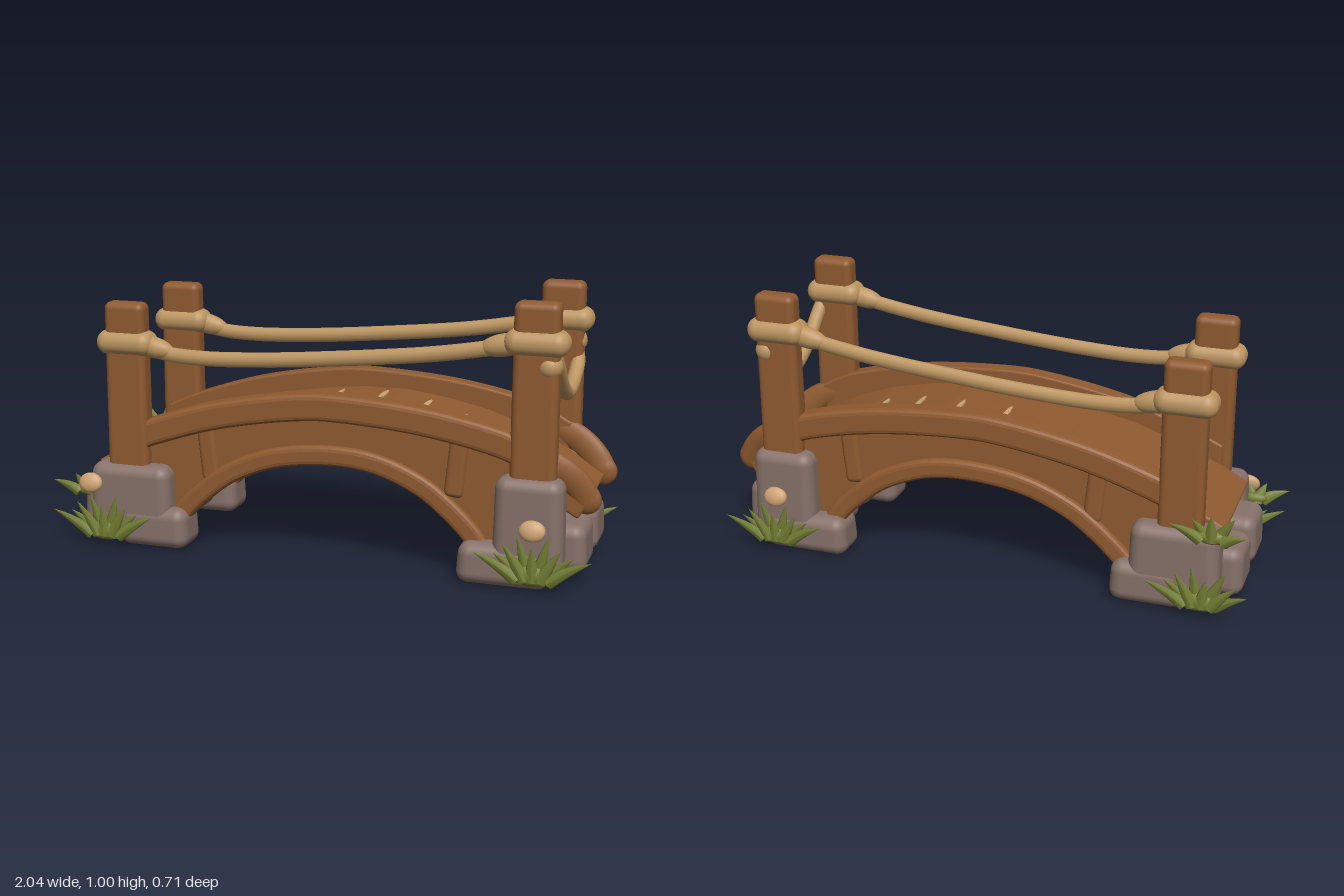
import * as THREE from 'three';
import { RoundedBoxGeometry } from 'three/addons/geometries/RoundedBoxGeometry.js';

const mat = (name, color) => {
  const m = new THREE.MeshStandardMaterial({ color });
  m.name = name;
  return m;
};
const V2 = (p) => new THREE.Vector2(p[0], p[1]);
const V3 = (p) => new THREE.Vector3(p[0], p[1], p[2]);

export function createModel() {
  const wood = mat('wood', 0x8f5a30);
  const rope = mat('rope', 0xbc9561);
  const stone = mat('stone', 0x87726a);
  const grass = mat('grass', 0x747f35);
  const cap = mat('mushroom', 0xcda273);
  const model = new THREE.Group();
  model.name = 'ropeBridge';

  function add(name, geo, material, x = 0, y = 0, z = 0, parent = model) {
    const m = new THREE.Mesh(geo, material);
    m.name = name;
    m.position.set(x, y, z);
    parent.add(m);
    return m;
  }
  const rbox = (w, h, d, r) => new RoundedBoxGeometry(w, h, d, 4, r);

  // Rounded block given by its bounds, narrowing slightly to the top
  function block(name, material, x0, x1, y0, y1, z0, z1, r, taper = 0) {
    const h = y1 - y0;
    const g = rbox(x1 - x0, h, z1 - z0, r);
    const p = g.attributes.position;
    for (let i = 0; i < p.count; i++) {
      const k = 1 - taper * (p.getY(i) / h);
      p.setX(i, p.getX(i) * k);
      p.setZ(i, p.getZ(i) * k);
    }
    return add(name, g, material, (x0 + x1) / 2, (y0 + y1) / 2, (z0 + z1) / 2);
  }

  // Side beam curves
  const topCurve = new THREE.SplineCurve([[-0.8, 0.43], [-0.66, 0.49], [-0.4, 0.57], [-0.1, 0.622],
    [0.1, 0.628], [0.4, 0.603], [0.68, 0.545], [0.82, 0.48]].map(V2));
  const archCurve = new THREE.SplineCurve([[-0.57, 0.05], [-0.5, 0.135], [-0.4, 0.225], [-0.3, 0.29],
    [-0.15, 0.345], [0.04, 0.366], [0.2, 0.35], [0.35, 0.29], [0.45, 0.215], [0.53, 0.135], [0.58, 0.05]].map(V2));

  // Extrude a closed outline between depths z0 and z1 with soft edges
  function slab(pts, z0, z1, b) {
    const g = new THREE.ExtrudeGeometry(new THREE.Shape(pts), {
      depth: z1 - z0 - 2 * b, bevelEnabled: true, bevelThickness: b, bevelSize: b,
      bevelOffset: -b, bevelSegments: 3,
    });
    return g.translate(0, 0, z0 + b);
  }
  // Band that follows a curve, growing along its normal
  function band(curve, width, z0, z1) {
    const n = 40, a = [], c = [];
    for (let i = 0; i <= n; i++) {
      const p = curve.getPoint(i / n), t = curve.getTangent(i / n);
      a.push(p);
      c.unshift(new THREE.Vector2(p.x - t.y * width, p.y + t.x * width));
    }
    return slab([...a, ...c], z0, z1, 0.02);
  }
  const wallGeo = slab([new THREE.Vector2(-0.8, 0.08), ...archCurve.getPoints(40),
    new THREE.Vector2(0.8, 0.08), ...topCurve.getPoints(40).reverse()], 0.2, 0.248, 0.008);
  const topRailGeo = band(topCurve, -0.1, 0.2, 0.28);
  const lowRailGeo = band(archCurve, 0.075, 0.195, 0.272);

  for (const s of [1, -1]) {
    const side = s > 0 ? 'front' : 'back';
    for (const [name, g] of [['BeamWall', wallGeo], ['TopRail', topRailGeo], ['ArchRail', lowRailGeo]]) {
      const m = add(side + name, g, wood);
      if (s < 0) {
        m.rotation.x = 0;
        m.position.z = g === wallGeo ? -0.448 : g === topRailGeo ? -0.48 : -0.467;
      }
    }
    // Ribs across the recessed panel
    for (const [x, y] of [[-0.44, 0.4], [0.5, 0.42]]) {
      const rib = add(side + 'Rib', rbox(0.07, 0.26, 0.05, 0.02), wood, x, y, s * 0.237);
      rib.rotation.z = x < 0 ? 0.1 : -0.1;
    }

    // Drooping tail of the rail past the tall post
    const tail = new THREE.Group();
    tail.name = side + 'RailTail';
    tail.scale.z = 0.5;
    model.add(tail);
    const path = new THREE.CatmullRomCurve3([[0.74, 0.46, s * 0.46], [0.85, 0.415, s * 0.43],
      [0.91, 0.365, s * 0.4], [0.945, 0.31, s * 0.38]].map(V3));
    add('tailBeam', new THREE.TubeGeometry(path, 16, 0.053, 12), wood, 0, 0, 0, tail);
    add('tailEnd', new THREE.SphereGeometry(0.053, 16, 12), wood, 0.945, 0.31, s * 0.38, tail);

    // Posts, with rope wrapped around them
    for (const [x, top, ry] of [[-0.75, 0.92, 0.77], [0.77, 1, 0.86]]) {
      block(side + 'Post', wood, x - 0.08, x + 0.08, 0.2, top, s * 0.25 - 0.04, s * 0.25 + 0.04, 0.026, 0.03);
      add(side + 'RopeWrap', rbox(0.225, 0.092, 0.118, 0.045), rope, x, ry, s * 0.252);
    }

    // Hand rope, thickening where it meets the wraps
    const line = new THREE.CatmullRomCurve3([[-0.72, 0.77, 0], [-0.6, 0.738, 0], [-0.45, 0.728, 0],
      [-0.2, 0.738, 0], [0.1, 0.764, 0], [0.4, 0.797, 0], [0.6, 0.83, 0], [0.74, 0.86, 0]].map(V3));
    const hand = add(side + 'HandRope', new THREE.TubeGeometry(line, 48, 0.028, 12), rope, 0, 0, s * 0.255);
    hand.scale.z = 0.75;
    for (const [x, y, a] of [[-0.65, 0.758, -0.2], [0.66, 0.846, 0.2]]) {
      const k = add(side + 'RopeKnot', new THREE.SphereGeometry(1, 16, 12), rope, x, y, s * 0.255);
      k.scale.set(0.09, 0.04, 0.036);
      k.rotation.z = a;
    }

    // Foundation stones
    const z = (a, b) => (s > 0 ? [a, b] : [-b, -a]);
    block('shortPostStone', stone, -0.9, -0.575, 0.03, 0.315, ...z(0.18, 0.32), 0.045, 0.06);
    block('shortFootStone', stone, -0.78, -0.51, 0.005, 0.16, ...z(0.16, 0.325), 0.045, 0.06);
    block('tallPostStone', stone, 0.64, 0.885, 0.02, 0.395, ...z(0.19, 0.318), 0.045, 0.06);
    block('tallFootStone', stone, 0.515, 0.84, 0, 0.15, ...z(0.165, 0.325), 0.045, 0.06);
    block('shortEndStone', stone, -0.97, -0.6, 0.04, 0.225, ...z(0.025, 0.235), 0.045, 0.04);
    block('tallEndStone', stone, 0.57, 0.955, 0.045, 0.22, ...z(0.022, 0.235), 0.045, 0.04);
  }

  // Rope sagging between the tall posts
  const sag = new THREE.CatmullRomCurve3([[0.82, 0.84, 0.26], [0.83, 0.785, 0.21], [0.83, 0.69, 0.1],
    [0.83, 0.638, 0], [0.83, 0.632, -0.07], [0.83, 0.655, -0.16], [0.83, 0.715, -0.235], [0.81, 0.77, -0.26]].map(V3));
  add('endRope', new THREE.TubeGeometry(sag, 40, 0.027, 12), rope);
  for (const s of [1, -1]) add('lowerKnot', new THREE.SphereGeometry(0.045, 16, 12), rope, 0.815, 0.78, s * 0.255);

  // Deck planks along an arched line
  const deck = new THREE.SplineCurve([[-0.9, 0.3], [-0.7, 0.4], [-0.4, 0.5], [0, 0.56],
    [0.2, 0.562], [0.5, 0.51], [0.75, 0.415], [0.95, 0.305]].map(V2));
  const count = 12, thick = 0.07;
  for (let i = 0; i < count; i++) {
    const a = deck.getPointAt(i / count), b = deck.getPointAt((i + 1) / count);
    const ang = Math.atan2(b.y - a.y, b.x - a.x);
    const plank = add('deckPlank', rbox(a.distanceTo(b) + 0.012, thick, 0.43, 0.01), wood,
      (a.x + b.x) / 2 + Math.sin(ang) * thick / 2, (a.y + b.y) / 2 - Math.cos(ang) * thick / 2);
    plank.rotation.z = ang;
  }
  // Pale worn slivers on the planks
  for (const [x, z, len] of [[-0.04, -0.06, 0.17], [0.14, -0.06, 0.13], [0.31, -0.03, 0.15], [0.46, 0, 0.08]]) {
    let u = 0;
    while (u < 1 && deck.getPoint(u).x < x) u += 0.002;
    const p = deck.getPoint(u), t = deck.getTangent(u);
    const sliver = add('wornSliver', new THREE.CylinderGeometry(1, 1, 0.008, 12), cap, p.x, p.y, z);
    sliver.scale.set(0.01, 1, len / 2);
    sliver.rotation.z = Math.atan2(t.y, t.x);
  }

  // Grass blade: flattened cone whose tip bends sideways
  function blade(len, bend) {
    const g = new THREE.ConeGeometry(0.024, len, 8, 5);
    g.translate(0, len / 2, 0);
    const p = g.attributes.position;
    for (let i = 0; i < p.count; i++) {
      const k = p.getY(i) / len;
      p.setX(i, p.getX(i) * (1 + 0.9 * k) + bend * k * k);
      p.setZ(i, p.getZ(i) * 0.65 + 0.02 * k);
    }
    g.computeVertexNormals();
    return g;
  }
  function tuft(x, y, z, size, n) {
    const g = new THREE.Group();
    g.name = 'grassTuft';
    g.position.set(x, y, z);
    if (z < 0) g.rotation.y = Math.PI;
    model.add(g);
    for (let i = 0; i < n; i++) {
      const f = (i / (n - 1)) * 2 - 1;
      const len = size * (0.88 + 0.14 * Math.cos(i * 2.4));
      const m = add('blade', blade(len, 0.03 * f), grass, f * size * 0.3, 0, 0.008 * Math.cos(i * 3), g);
      m.rotation.z = -f * 0.85;
    }
    const root = add('tuftRoot', new THREE.SphereGeometry(1, 14, 10), grass, 0, size * 0.12, 0, g);
    root.scale.set(size * 0.48, size * 0.22, 0.022);
  }
  tuft(-0.83, 0.04, 0.325, 0.17, 9);
  tuft(0.79, 0.04, 0.325, 0.175, 9);
  tuft(-0.84, 0.04, -0.325, 0.165, 8);
  tuft(0.79, 0.04, -0.325, 0.165, 9);
  tuft(-0.87, 0.29, -0.305, 0.12, 5);
  tuft(-0.92, 0.19, 0.285, 0.1, 4);

  // Mushroom caps on the stones
  for (const [x, y, s] of [[-0.885, 0.24, 1], [0.785, 0.22, 1], [0.785, 0.22, -1]]) {
    const m = add('mushroomCap', new THREE.SphereGeometry(1, 16, 12), cap, x, y, s * 0.325);
    m.scale.set(0.047, 0.038, 0.022);
    m.rotation.x = -0.3 * s;
  }
  return model;
}
